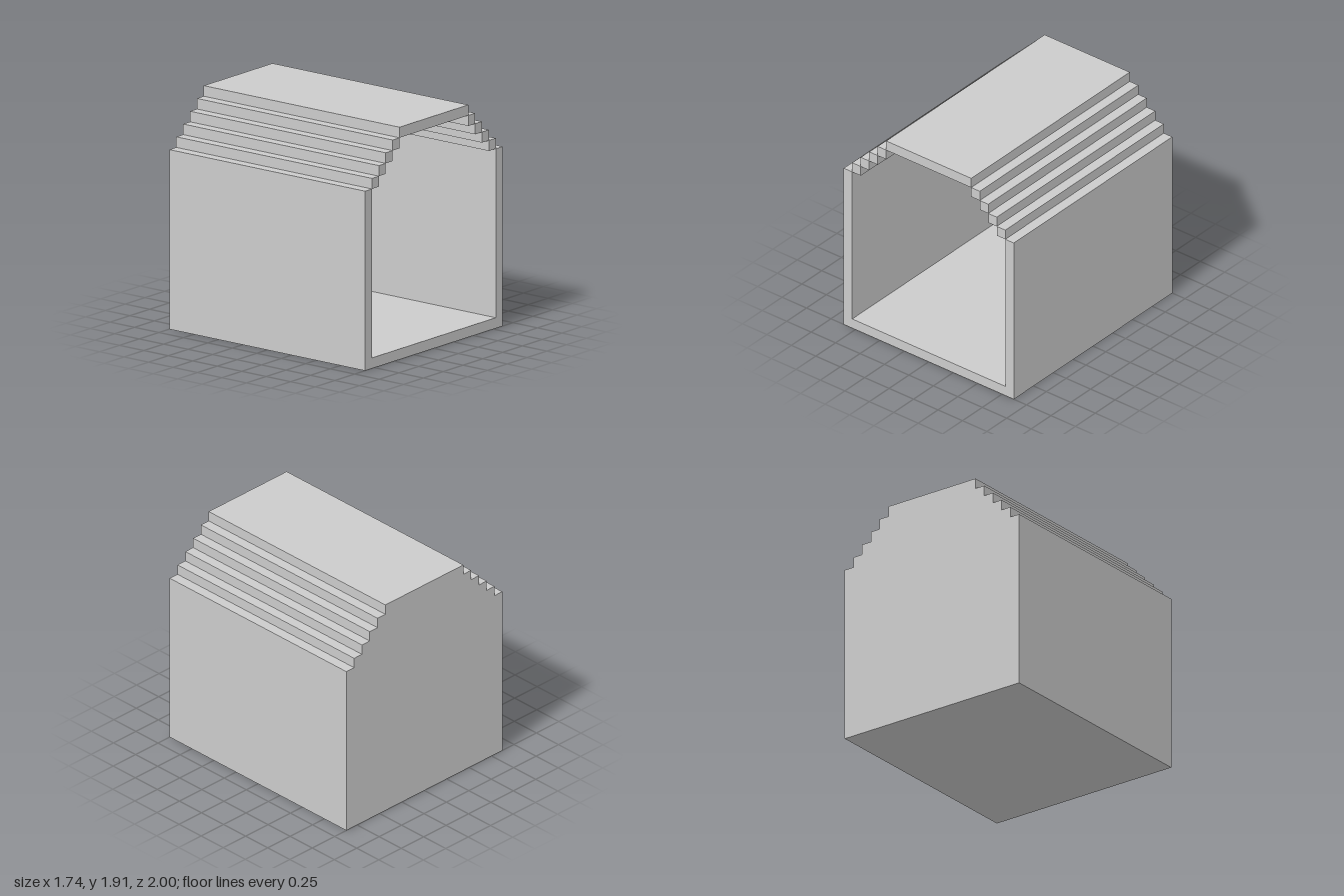
import * as THREE from 'three';

const U = 2 / 23; // one block; all sizes below are counted in blocks
const DEPTH = 23, HALF = 10, WALL_TOP = 17, STEPS = 4;

export function createModel() {
  const group = new THREE.Group();
  const material = new THREE.MeshStandardMaterial({ color: 0xcccccc, flatShading: true });

  const add = (name, geometry) => {
    const mesh = new THREE.Mesh(geometry, material);
    mesh.name = name;
    group.add(mesh);
  };

  // Extrudes an outline in x, y from z0 to z1
  const extrude = (name, points, z0, z1) => {
    const shape = new THREE.Shape(points.map(([x, y]) => new THREE.Vector2(x * U, y * U)));
    const geometry = new THREE.ExtrudeGeometry(shape, { depth: (z1 - z0) * U, bevelEnabled: false });
    add(name, geometry.translate(0, 0, z0 * U));
  };

  const front = DEPTH / 2, back = -front, inner = back + 1;

  // Floor and both side walls, one block thick
  extrude('floorAndWalls', [
    [-HALF, 0], [HALF, 0], [HALF, WALL_TOP], [HALF - 1, WALL_TOP], [HALF - 1, 1],
    [-HALF + 1, 1], [-HALF + 1, WALL_TOP], [-HALF, WALL_TOP],
  ], inner, front);

  // Back wall with the full stepped outline
  const right = [[HALF, 0], [HALF, WALL_TOP]];
  for (let i = 0; i < STEPS; i++) {
    right.push([HALF - 1 - i, WALL_TOP + i], [HALF - 1 - i, WALL_TOP + i + 1]);
  }
  const ridge = HALF - 1 - STEPS, ridgeY = WALL_TOP + STEPS;
  right.push([ridge, ridgeY], [ridge, ridgeY + 1]);
  const left = right.map(([x, y]) => [-x, y]).reverse();
  extrude('backWall', [...right, ...left], back, inner);

  // Stepped roof bars, each touching the next along an edge
  const box = (name, x0, x1, y) => {
    const geometry = new THREE.BoxGeometry((x1 - x0) * U, U, (front - inner) * U);
    add(name, geometry.translate((x0 + x1) / 2 * U, (y + 0.5) * U, (front + inner) / 2 * U));
  };
  for (let i = 0; i < STEPS; i++) {
    const x = HALF - 2 - i;
    box(`leftRoofStep${i + 1}`, x, x + 1, WALL_TOP + i);
    box(`rightRoofStep${i + 1}`, -x - 1, -x, WALL_TOP + i);
  }

  // Flat top of the roof
  box('roofTop', -ridge, ridge, ridgeY);

  return group;
}
